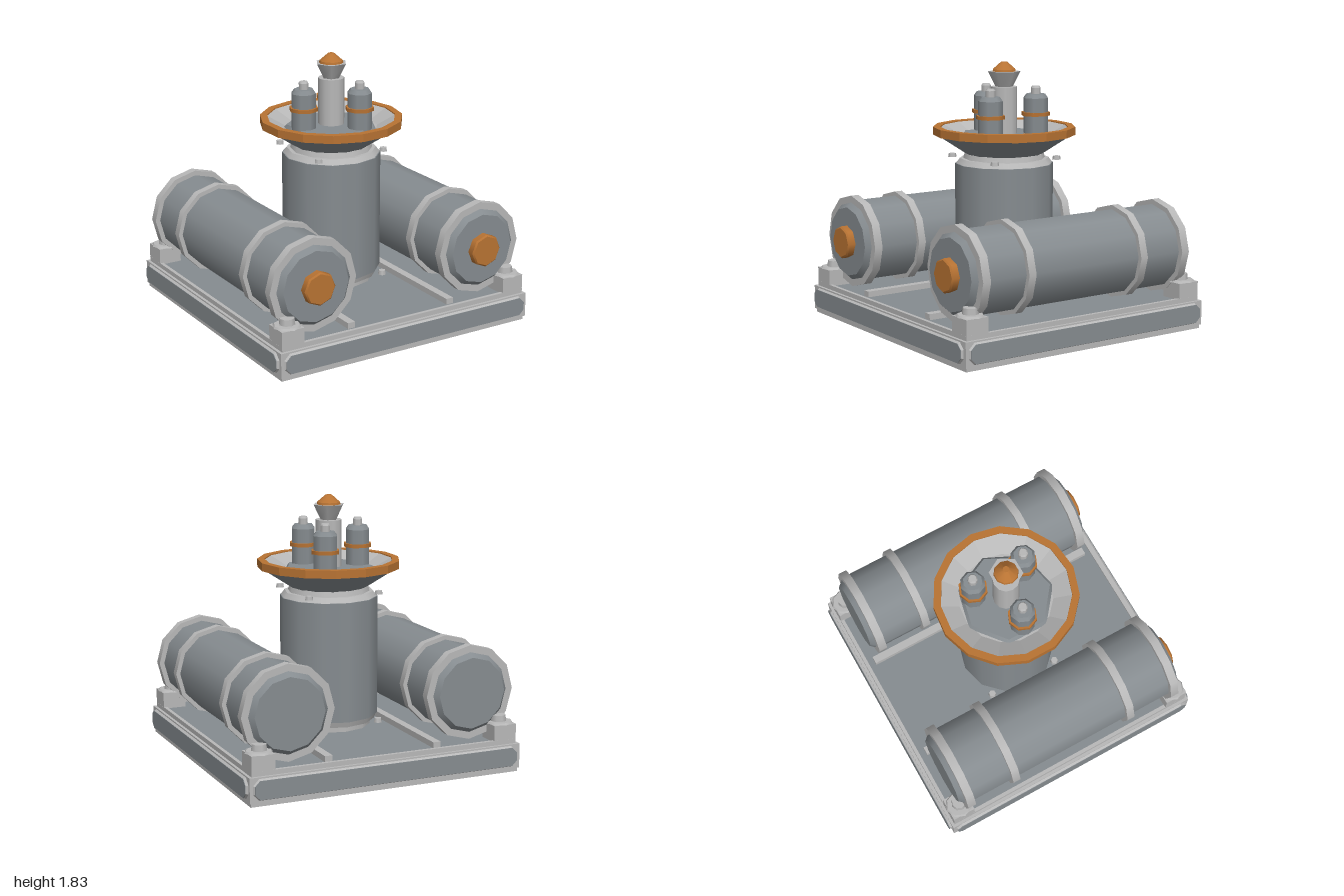
import * as THREE from 'three';

const steel = new THREE.MeshStandardMaterial({ color: 0x868c90 });
steel.name = 'dark steel';
const light = new THREE.MeshStandardMaterial({ color: 0xb8b8b8 });
light.name = 'light steel';
const copper = new THREE.MeshStandardMaterial({ color: 0xb87333 });
copper.name = 'copper';

function add(parent, name, geometry, material, x = 0, y = 0, z = 0) {
  const mesh = new THREE.Mesh(geometry, material);
  mesh.name = name;
  mesh.position.set(x, y, z);
  parent.add(mesh);
  return mesh;
}

function box(parent, name, material, w, y0, y1, d, x = 0, z = 0) {
  return add(parent, name, new THREE.BoxGeometry(w, y1 - y0, d), material, x, (y0 + y1) / 2, z);
}

// Round section along y, with a corner pointing to +x
function drum(parent, name, material, r0, r1, y0, y1, sides, x = 0, z = 0) {
  const g = new THREE.CylinderGeometry(r1, r0, y1 - y0, sides);
  g.rotateY(Math.PI / 2);
  return add(parent, name, g, material, x, (y0 + y1) / 2, z);
}

function ring(parent, name, material, points, sides) {
  const g = new THREE.LatheGeometry(points.map(p => new THREE.Vector2(...p)), sides);
  g.rotateY(Math.PI / 2);
  const flat = g.toNonIndexed();
  flat.computeVertexNormals();
  return add(parent, name, flat, material);
}

// Long plate with cut corners
function plateShape(hw, hh, cut) {
  const s = new THREE.Shape();
  s.moveTo(-hw + cut, -hh);
  s.lineTo(hw - cut, -hh);
  s.lineTo(hw, -hh + cut);
  s.lineTo(hw, hh - cut);
  s.lineTo(hw - cut, hh);
  s.lineTo(-hw + cut, hh);
  s.lineTo(-hw, hh - cut);
  s.lineTo(-hw, -hh + cut);
  s.closePath();
  return s;
}

function makeBase() {
  const base = new THREE.Group();
  base.name = 'base';
  box(base, 'underside', steel, 1.9, 0, 0.02, 1.9);
  box(base, 'lowerTrim', light, 1.94, 0.004, 0.03, 1.94);
  box(base, 'baseBody', light, 1.96, 0.03, 0.2, 1.96);
  box(base, 'floor', steel, 1.89, 0.2, 0.215, 1.89);

  const frame = new THREE.ExtrudeGeometry(plateShape(0.945, 0.06, 0.035), {
    depth: 0.005, bevelEnabled: true, bevelThickness: 0.016, bevelSize: 0.012, bevelSegments: 1,
  });
  const panel = new THREE.ExtrudeGeometry(plateShape(0.95, 0.063, 0.035), { depth: 0.004, bevelEnabled: false });
  for (let i = 0; i < 4; i++) {
    const side = new THREE.Group();
    side.name = 'baseSide';
    side.rotation.y = i * Math.PI / 2;
    add(side, 'panelFrame', frame, light, 0, 0.118, 0.975);
    add(side, 'sidePanel', panel, steel, 0, 0.118, 0.996);
    box(side, 'topRim', light, 1.92, 0.2, 0.232, 0.025, 0, 0.9475);
    base.add(side);
  }

  // Corner blocks with bolts
  for (const x of [-1, 1]) for (const z of [-1, 1]) {
    box(base, 'cornerBlock', light, 0.165, 0.22, 0.335, 0.165, x * 0.877, z * 0.877);
    drum(base, 'cornerBlockTop', light, 0.095, 0.085, 0.335, 0.348, 8, x * 0.877, z * 0.877);
    drum(base, 'cornerBolt', light, 0.055, 0.05, 0.345, 0.39, 8, x * 0.872, z * 0.872);
  }
  // Floor rails
  for (const x of [-1, 1]) box(base, 'floorRail', light, 0.055, 0.21, 0.255, 1.78, x * 0.395);
  return base;
}

// Horizontal tank, built upright then laid along z
function makeTank(x) {
  const tank = new THREE.Group();
  tank.name = 'tank';
  drum(tank, 'tankBody', steel, 0.29, 0.29, -0.84, 0.84, 12);
  drum(tank, 'frontCap', steel, 0.285, 0.245, 0.84, 0.885, 12);
  drum(tank, 'backCap', steel, 0.245, 0.285, -0.885, -0.84, 12);
  for (const s of [-1, 1]) {
    drum(tank, 'endBand', light, 0.325, 0.325, s * 0.82 - 0.03, s * 0.82 + 0.03, 12);
    drum(tank, 'middleBand', light, 0.32, 0.32, s * 0.462 - 0.028, s * 0.462 + 0.028, 12);
  }
  drum(tank, 'frontPlug', copper, 0.115, 0.115, 0.88, 0.93, 8);
  drum(tank, 'plugFace', copper, 0.115, 0.105, 0.93, 0.94, 8);
  tank.rotation.x = Math.PI / 2;
  tank.position.set(x, 0.56, 0);
  return tank;
}

function makeColumn() {
  const column = new THREE.Group();
  column.name = 'column';
  drum(column, 'bottomFlange', light, 0.29, 0.29, 0.21, 0.255, 12);
  drum(column, 'bottomCollar', light, 0.32, 0.335, 0.255, 0.3, 12);
  drum(column, 'columnBody', steel, 0.342, 0.342, 0.295, 1.13, 12);
  drum(column, 'topCollar', light, 0.335, 0.31, 1.13, 1.165, 12);
  drum(column, 'topFlange', light, 0.285, 0.275, 1.165, 1.2, 12);
  for (const x of [-1, 1]) for (const z of [-1, 1]) {
    drum(column, 'lowerBolt', light, 0.03, 0.025, 0.25, 0.28, 6, x * 0.26, z * 0.26);
    drum(column, 'upperBolt', light, 0.03, 0.025, 1.16, 1.185, 6, x * 0.26, z * 0.26);
  }
  return column;
}

function makeDish() {
  const dish = new THREE.Group();
  dish.name = 'dish';
  // Open cone under the rim
  const cone = new THREE.CylinderGeometry(0.48, 0.265, 0.14, 15, 1, true);
  cone.rotateY(Math.PI / 2);
  add(dish, 'dishUnderside', cone, steel, 0, 1.265, 0);
  ring(dish, 'dishRim', copper, [[0.44, 1.33], [0.495, 1.33], [0.495, 1.385], [0.445, 1.385], [0.44, 1.33]], 15);
  ring(dish, 'dishInside', light, [[0.446, 1.378], [0.32, 1.31], [0, 1.31]], 15);
  drum(dish, 'centrePlate', steel, 0.34, 0.31, 1.3, 1.335, 7);

  // Central mast
  drum(dish, 'mast', light, 0.09, 0.09, 1.32, 1.66, 12);
  drum(dish, 'mastCup', light, 0.06, 0.113, 1.66, 1.765, 6);
  drum(dish, 'mastCapBase', copper, 0.085, 0.08, 1.76, 1.78, 10);
  drum(dish, 'mastCap', copper, 0.08, 0.022, 1.78, 1.83, 10);

  // Three canisters around the mast
  for (let i = 0; i < 3; i++) {
    const a = Math.PI / 3 + i * Math.PI * 2 / 3;
    const x = Math.cos(a) * 0.22, z = Math.sin(a) * 0.22;
    drum(dish, 'canister', steel, 0.086, 0.086, 1.32, 1.58, 8, x, z);
    drum(dish, 'canisterShoulder', steel, 0.086, 0.066, 1.58, 1.608, 8, x, z);
    drum(dish, 'canisterBand', copper, 0.1, 0.1, 1.457, 1.482, 8, x, z);
    drum(dish, 'canisterNeck', light, 0.034, 0.034, 1.6, 1.65, 8, x, z);
    drum(dish, 'canisterTip', light, 0.034, 0.026, 1.65, 1.662, 8, x, z);
  }
  return dish;
}

export function createModel() {
  const model = new THREE.Group();
  model.name = 'machine';
  model.add(makeBase(), makeTank(-0.66), makeTank(0.66), makeColumn(), makeDish());
  return model;
}
